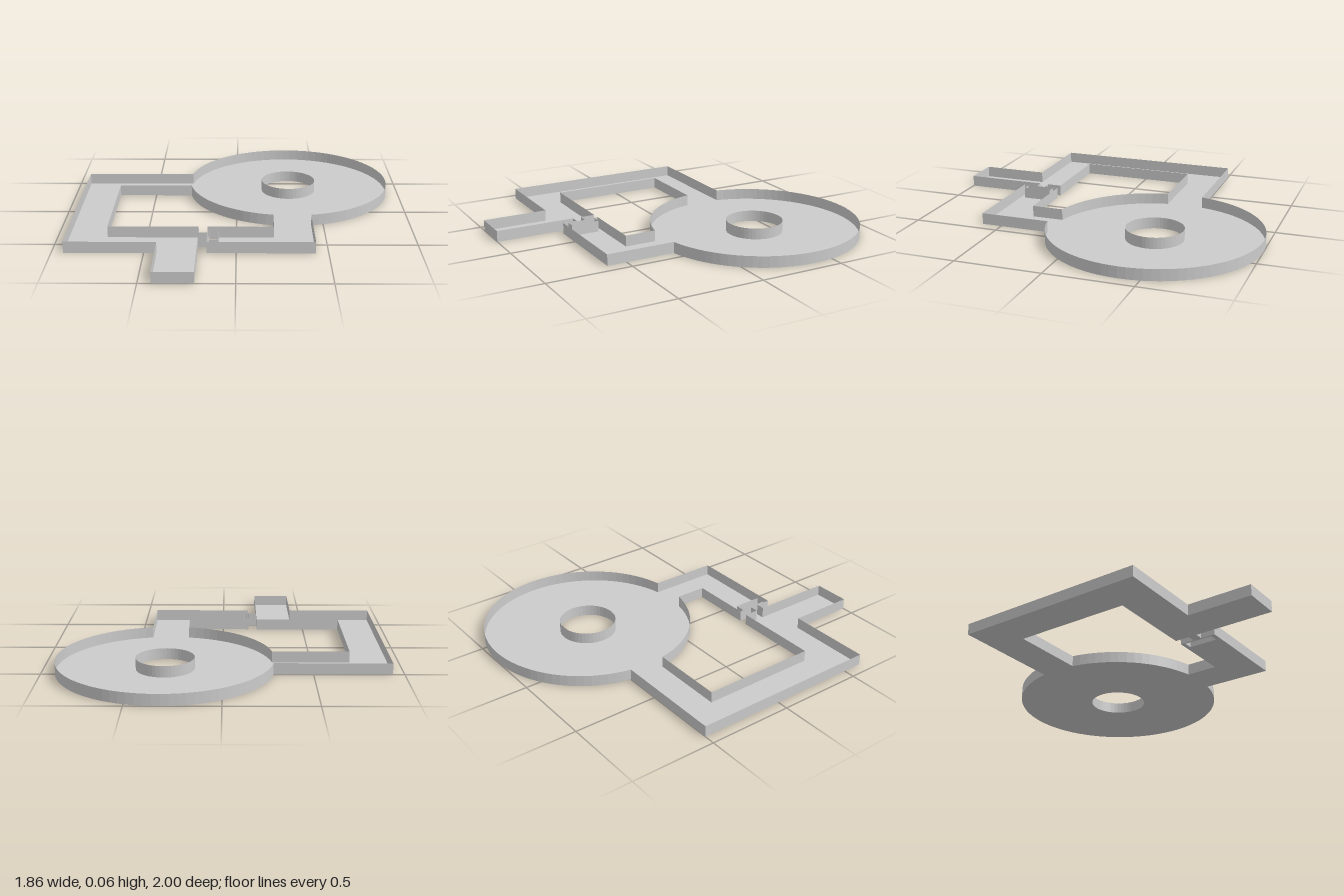
import * as THREE from 'three';

const H = 0.065;            // wall height
const CX = 0.32, CZ = -0.39; // disc centre
const R = 0.61, HOLE_R = 0.165;

// Points [x, z] along an arc about the disc centre
function arc(r, a0, a1, n) {
  return Array.from({ length: n + 1 }, (_, i) => {
    const a = a0 + (a1 - a0) * i / n;
    return [CX + r * Math.cos(a), CZ + r * Math.sin(a)];
  });
}

// Thin upright wall following a closed loop of [x, z] points
function wall(loop) {
  const pos = [];
  loop.forEach(([x0, z0], i) => {
    const [x1, z1] = loop[(i + 1) % loop.length];
    pos.push(x0, 0, z0, x0, H, z0, x1, H, z1, x0, 0, z0, x1, H, z1, x1, 0, z1);
  });
  const g = new THREE.BufferGeometry();
  g.setAttribute('position', new THREE.Float32BufferAttribute(pos, 3));
  g.computeVertexNormals();
  return g;
}

export function createModel() {
  const group = new THREE.Group();
  const material = new THREE.MeshStandardMaterial({
    color: 0xcccccc, side: THREE.DoubleSide, flatShading: true,
  });
  const add = (name, geometry) => {
    const mesh = new THREE.Mesh(geometry, material);
    mesh.name = name;
    group.add(mesh);
  };

  // Outer edge: square track, big disc, pad, bridge and lead
  const outer = [
    [-0.935, -0.5],
    ...arc(R, Math.PI + 0.18, 2 * Math.PI + 1.39, 60),
    [0.43, 0.615], [-0.16, 0.615], [-0.16, 0.53], [-0.21, 0.53],
    [-0.21, 1], [-0.43, 1], [-0.43, 0.615], [-0.935, 0.615],
  ];
  // Window enclosed by the track and the disc
  const inner = [
    [-0.72, -0.285],
    ...arc(R, Math.PI - 0.175, Math.PI / 2 + 0.18, 16),
    [0.21, 0.395], [-0.16, 0.395], [-0.16, 0.48], [-0.21, 0.48],
    [-0.21, 0.395], [-0.72, 0.395],
  ];
  const discHole = arc(HOLE_R, 0, 2 * Math.PI, 48).slice(0, -1);
  const slot = [[-0.15, 0.42], [-0.097, 0.42], [-0.097, 0.587], [-0.15, 0.587]];

  // Floor plate
  const toV2 = loop => loop.map(([x, z]) => new THREE.Vector2(x, -z));
  const plate = new THREE.Shape(toV2(outer));
  for (const loop of [inner, discHole, slot]) plate.holes.push(new THREE.Path(toV2(loop)));
  add('floor', new THREE.ShapeGeometry(plate).rotateX(-Math.PI / 2));

  // Rim walls
  add('outerWall', wall(outer));
  add('windowWall', wall(inner));
  add('discHoleWall', wall(discHole));
  add('slotWall', wall(slot));
  return group;
}
